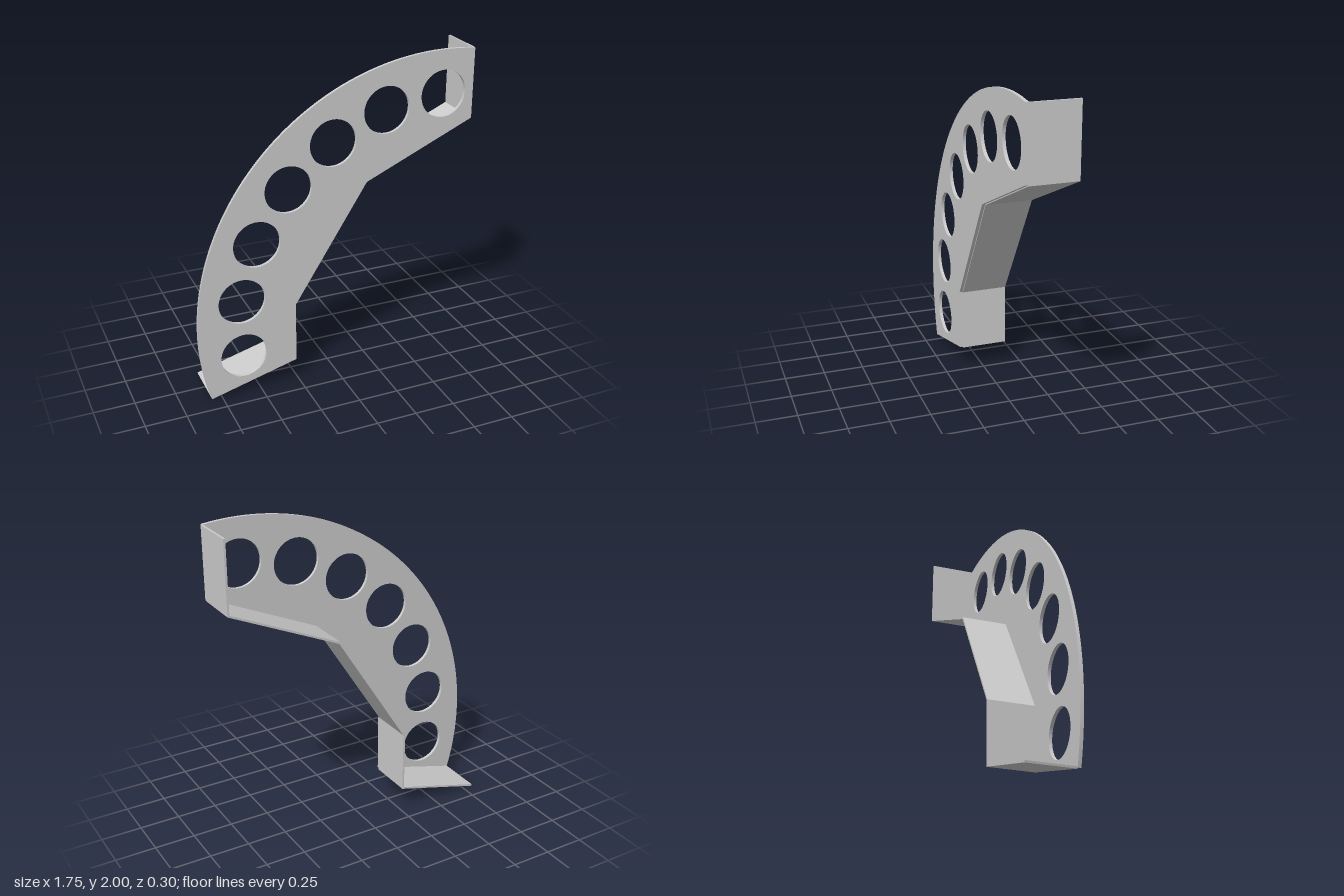
import * as THREE from 'three';

const CENTRE = new THREE.Vector2(0.67, 0.45); // shared centre of rim and hole ring
const RIM = 1.55, RING = 1.286, HOLE = 0.143;
const FRONT = 0.152, SEAM = 0.132, BACK = -0.152, HALF = 0.006;

// Straight-sided edge of the plate, from the lower tip to the upper tip
const EDGE = [[-0.815, 0.006], [-0.268, 0.154], [-0.268, 0.536], [0.188, 1.258], [0.866, 1.561], [0.866, 1.988]]
  .map(([x, y]) => new THREE.Vector2(x, y));

// Offset an open polyline sideways with mitred corners
function offset(points, d) {
  const normal = (a, b) => new THREE.Vector2(b.y - a.y, a.x - b.x).normalize();
  return points.map((p, i) => {
    const n1 = normal(points[Math.max(i - 1, 0)], points[Math.max(i, 1)]);
    const last = points.length - 1;
    const n2 = normal(points[Math.min(i, last - 1)], points[Math.min(i + 1, last)]);
    const m = n1.clone().add(n2).normalize();
    return p.clone().addScaledVector(m, d / m.dot(n1));
  });
}

function extrude(shape, z0, z1) {
  const geometry = new THREE.ExtrudeGeometry(shape, { depth: z1 - z0, bevelEnabled: false, curveSegments: 48 });
  return geometry.translate(0, 0, z0);
}

export function createModel() {
  const group = new THREE.Group();
  group.name = 'perforatedBracket';
  const material = new THREE.MeshStandardMaterial({ color: 0xcccccc });
  const add = (name, geometry) => {
    const mesh = new THREE.Mesh(geometry, material);
    mesh.name = name;
    group.add(mesh);
  };

  // Curved face plate
  const plate = new THREE.Shape();
  plate.moveTo(EDGE[0].x, EDGE[0].y);
  EDGE.slice(1).forEach((p) => plate.lineTo(p.x, p.y));
  const angleOf = (p) => p.clone().sub(CENTRE).angle();
  plate.absarc(CENTRE.x, CENTRE.y, RIM, angleOf(EDGE[5]), angleOf(EDGE[0]), false);

  // Seven lightening holes following the rim
  for (let i = 0; i < 7; i++) {
    const a = THREE.MathUtils.degToRad(90 + i * 16.4);
    const hole = new THREE.Path();
    hole.absarc(CENTRE.x + RING * Math.cos(a), CENTRE.y + RING * Math.sin(a), HOLE, 0, Math.PI * 2, true);
    plate.holes.push(hole);
  }
  add('facePlate', extrude(plate, SEAM, FRONT));

  // Folded flange running back from the straight edges
  const strip = new THREE.Shape([...offset(EDGE, HALF), ...offset(EDGE, -HALF).reverse()]);
  add('foldedFlange', extrude(strip, BACK, SEAM));

  return group;
}
